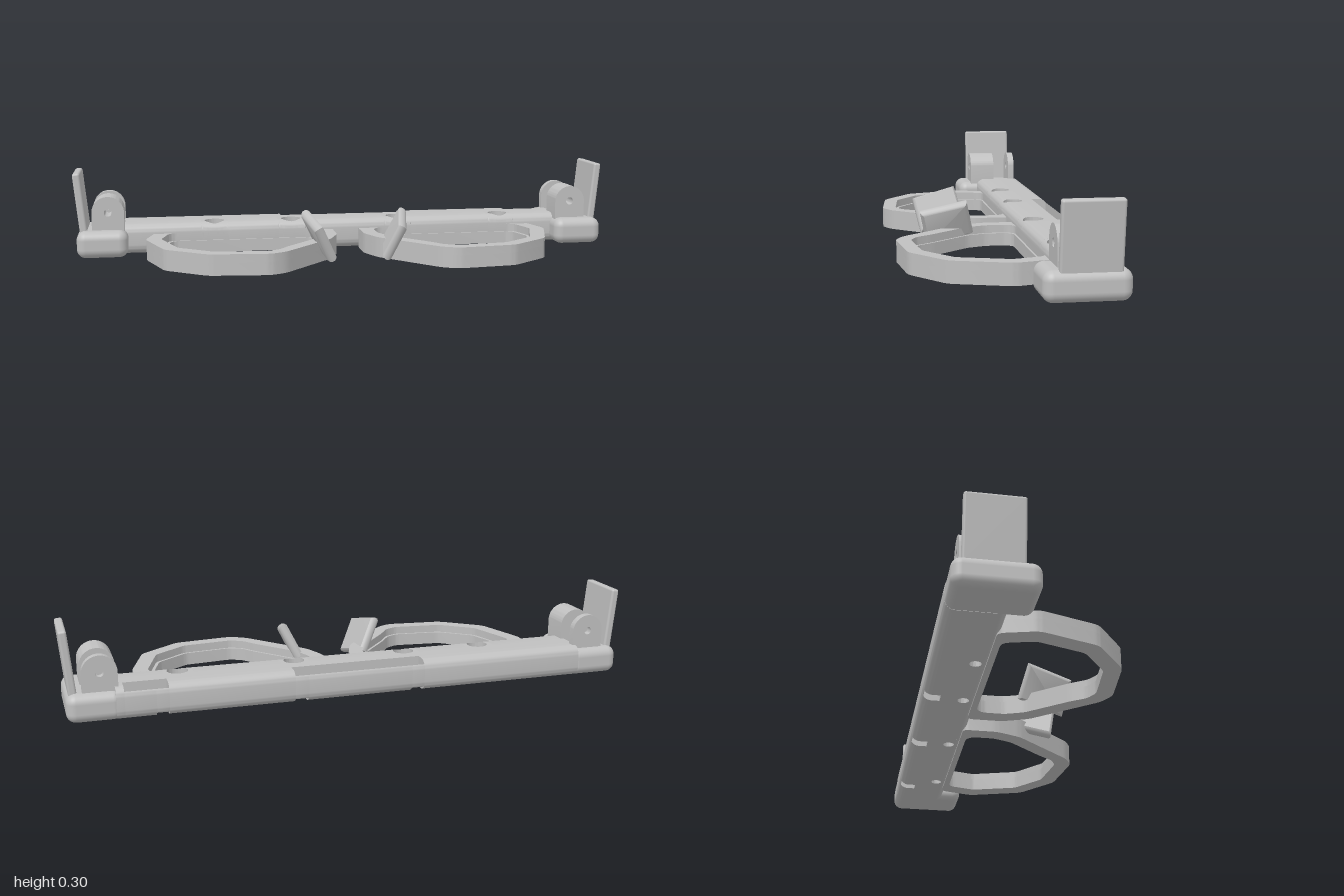
import * as THREE from 'three';
import { toCreasedNormals } from 'three/addons/utils/BufferGeometryUtils.js';
import { RoundedBoxGeometry } from 'three/addons/geometries/RoundedBoxGeometry.js';
import { ConvexGeometry } from 'three/addons/geometries/ConvexGeometry.js';

const grey = new THREE.MeshStandardMaterial({ color: 0xc0c0c0 });
grey.name = 'plain grey';

// Bar section: height, edge radius, back and front planes
const H = 0.11, R = 0.033, BACK = -0.317, FRONT = -0.125;
const topY = (z) => {
  const d = Math.max(0, Math.min(z - BACK, FRONT - z));
  return d < R ? H - R + Math.sqrt(R * R - (R - d) ** 2) : H;
};
const arcZ = [];
for (let i = 0; i <= 8; i++) {
  const d = R * (1 - Math.cos((i / 8) * Math.PI / 2));
  arcZ.push(BACK + d, FRONT - d);
}
arcZ.sort((a, b) => a - b);

// Closed path through corner points, each corner softened
function softPath(path, points, cut) {
  const n = points.length;
  points.forEach((p, i) => {
    const toward = (q) => p.clone().lerp(q, Math.min(0.4, cut / p.distanceTo(q)));
    const a = toward(points[(i + n - 1) % n]), b = toward(points[(i + 1) % n]);
    if (i === 0) path.moveTo(a.x, a.y);
    else path.lineTo(a.x, a.y);
    path.quadraticCurveTo(p.x, p.y, b.x, b.y);
  });
  path.closePath();
  return path;
}

export function createModel() {
  const root = new THREE.Group();
  const add = (name, geometry, parent = root) => {
    const mesh = new THREE.Mesh(geometry, grey);
    mesh.name = name;
    parent.add(mesh);
    return mesh;
  };
  const crease = (g) => toCreasedNormals(g, 0.6);

  const bar = new THREE.Group();
  bar.name = 'bar';
  root.add(bar);

  // A length of the bar between two depths, cut off at an optional height
  const strip = (name, x0, x1, z0, z1, cap = H) => {
    const zs = [z0, ...arcZ.filter((z) => z > z0 + 1e-4 && z < z1 - 1e-4), z1];
    const upper = zs.map((z) => new THREE.Vector2(-z, Math.min(cap, topY(z))));
    const lower = zs.map((z) => new THREE.Vector2(-z, H - topY(z))).reverse();
    const g = new THREE.ExtrudeGeometry(new THREE.Shape([...upper, ...lower]),
      { depth: x1 - x0, bevelEnabled: false });
    g.rotateY(Math.PI / 2).translate(x0, 0, 0);
    add(name, crease(g), bar);
  };

  // Square piece of the bar with a counterbored screw hole
  const screwTile = (cx) => {
    const cz = -0.175, half = 0.05, N = 96, rings = [];
    const ring = (radius, y) => {
      const pts = [];
      for (let j = 0; j < N; j++) {
        const a = (j / N) * Math.PI * 2, c = Math.cos(a), s = Math.sin(a);
        const r = radius(half / Math.max(Math.abs(c), Math.abs(s)));
        const z = cz + s * r;
        pts.push([cx + c * r, y(z), z]);
      }
      rings.push(pts);
    };
    const under = (z) => H - topY(z), floor = () => 0.055;
    const mix = (r0, t) => (edge) => r0 + (edge - r0) * (1 - (1 - t) ** 2);
    for (let i = 6; i >= 0; i--) ring(mix(0.02, i / 6), under);
    ring(() => 0.02, floor);
    ring(() => 0.036, floor);
    for (let i = 0; i <= 6; i++) ring(mix(0.036, i / 6), topY);
    const pos = [], n = rings.length;
    for (let i = 0; i < n; i++) for (let j = 0; j < N; j++) {
      const a = rings[i][j], b = rings[i][(j + 1) % N];
      const c = rings[(i + 1) % n][j], d = rings[(i + 1) % n][(j + 1) % N];
      pos.push(...a, ...b, ...c, ...b, ...d, ...c);
    }
    const g = new THREE.BufferGeometry();
    g.setAttribute('position', new THREE.Float32BufferAttribute(pos, 3));
    add('screwHole', crease(g), bar);
  };

  // Front strip with four screw holes
  const END = 0.83, holes = [-0.49, -0.203, 0.201, 0.608];
  let x = -END;
  for (const hx of holes) {
    strip('barFront', x, hx - 0.05, -0.225, FRONT);
    screwTile(hx);
    x = hx + 0.05;
  }
  strip('barFront', x, END, -0.225, FRONT);
  strip('barMiddle', -END, END, -0.255, -0.225);

  // Rear strip: solid lengths, slots with a floor, and square through holes
  const rear = [[-END, -0.232, 'solid'], [-0.232, -0.187, 'open'], [-0.187, 0.186, 'floor'],
    [0.186, 0.232, 'open'], [0.232, 0.658, 'solid'], [0.658, 0.7, 'open'],
    [0.7, 0.803, 'floor'], [0.803, END, 'solid']];
  for (const [x0, x1, kind] of rear) {
    if (kind === 'solid') strip('barRear', x0, x1, BACK, -0.255);
    else {
      strip('slotWall', x0, x1, BACK, -0.311);
      if (kind === 'floor') strip('slotFloor', x0, x1, -0.311, -0.255, 0.06);
    }
  }

  // Outlines of one rim as x, z
  const outer = [[0.05, -0.14], [0.05, -0.015], [0.085, 0.075], [0.21, 0.22], [0.27, 0.29],
    [0.325, 0.319], [0.535, 0.296], [0.679, 0.186], [0.743, -0.015], [0.71, -0.14]];
  const inner = [[0.125, -0.125], [0.103, -0.1], [0.103, -0.02], [0.13, 0.05], [0.252, 0.192],
    [0.29, 0.246], [0.335, 0.268], [0.515, 0.248], [0.632, 0.158], [0.687, -0.015],
    [0.662, -0.11], [0.645, -0.125]];
  const rimLayer = (s, k, y0, y1) => {
    const shape = softPath(new THREE.Shape(),
      outer.map(([px, pz]) => new THREE.Vector2(s * px, -pz)), 0.022);
    const opening = inner.map(([px, pz]) =>
      new THREE.Vector2(s * (0.39 + (px - 0.39) * k), -(0.04 + (pz - 0.04) * k)));
    if (s < 0) opening.reverse();
    shape.holes.push(softPath(new THREE.Path(), opening, 0.015));
    return crease(new THREE.ExtrudeGeometry(shape,
      { depth: y1 - y0, bevelEnabled: false, curveSegments: 5 })
      .rotateX(-Math.PI / 2).translate(0, y0, 0));
  };

  // Hinge lug with a pin hole
  const lugShape = new THREE.Shape();
  lugShape.moveTo(-0.058, -0.09);
  lugShape.lineTo(0.058, -0.09);
  lugShape.lineTo(0.058, 0);
  lugShape.absarc(0, 0, 0.058, 0, Math.PI, false);
  lugShape.closePath();
  const pin = new THREE.Path();
  pin.absarc(0, 0, 0.014, 0, Math.PI * 2, true);
  lugShape.holes.push(pin);

  for (const s of [1, -1]) {
    const side = new THREE.Group();
    side.name = s > 0 ? 'leftSide' : 'rightSide';
    root.add(side);

    // Rim with an inner ledge
    add('rimLedge', rimLayer(s, 0.96, 0, 0.045), side);
    add('rim', rimLayer(s, 1, 0.045, 0.073), side);

    // Nose pad: a tilted slab with softened edges
    const face = [[0.168, 0.182, 0.058], [0.135, 0.142, 0.219], [0.079, 0.022, 0.192], [0.112, 0.066, 0.028]];
    const mid = new THREE.Vector3(0.123, 0.103, 0.124), pts = [];
    for (const p of face) {
      for (const [t, k] of [[0, 0.9], [0.004, 0.96], [0.011, 1], [0.022, 1], [0.03, 0.94], [0.034, 0.86]]) {
        const v = new THREE.Vector3(...p).sub(mid).multiplyScalar(k).add(mid);
        v.x = s * (v.x + 0.86 * t);
        v.y -= 0.5 * t;
        pts.push(v);
      }
    }
    add('nosePad', crease(new ConvexGeometry(pts)), side);

    // End block
    add('endBlock', new RoundedBoxGeometry(0.182, 0.097, 0.267, 5, 0.032), side)
      .position.set(s * 0.897, 0.0485, -0.1835);

    // Thick front lug and thin rear lug
    for (const [z0, z1] of [[-0.2, -0.1], [-0.29, -0.265]]) {
      const g = new THREE.ExtrudeGeometry(lugShape, { depth: z1 - z0, bevelEnabled: false, curveSegments: 20 });
      add('hingeLug', crease(g), side).position.set(s * 0.876, 0.16, z0);
    }

    // Upright side plate, leaning outwards
    const plate = add('sidePlate', new RoundedBoxGeometry(0.027, 0.224, 0.189, 3, 0.008), side);
    plate.position.set(s * 0.974, 0.193, -0.1925);
    plate.rotation.z = -s * 0.1;
  }
  return root;
}
